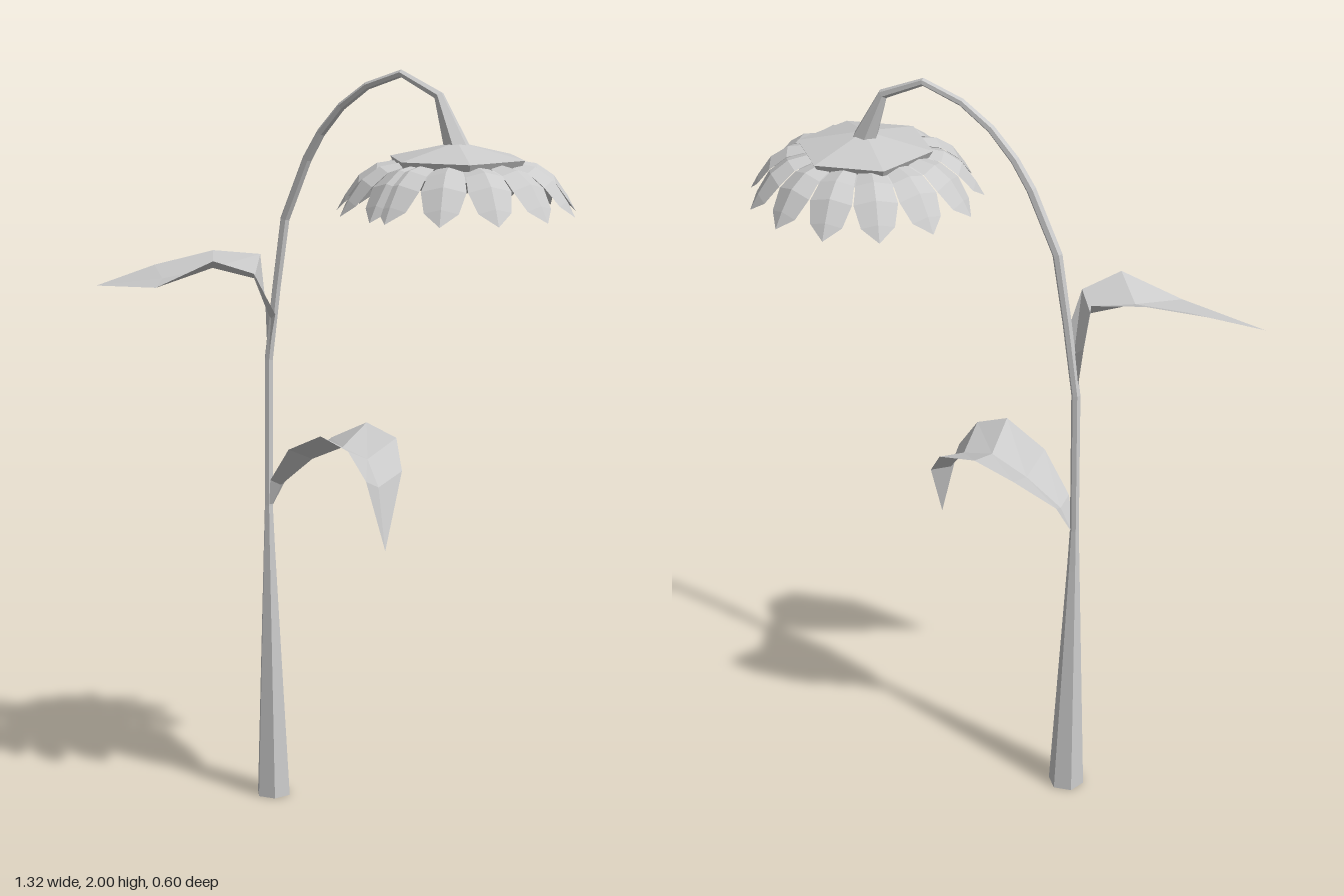
import * as THREE from 'three';

const material = new THREE.MeshStandardMaterial({ color: 0xcccccc, flatShading: true });
const thin = new THREE.MeshStandardMaterial({ color: 0xcccccc, flatShading: true, side: THREE.DoubleSide });

// Skins rows of [x, y, z] points into a faceted surface
function skin(rows) {
  const pos = [];
  for (let i = 0; i < rows.length - 1; i++) {
    for (let j = 0; j < rows[i].length - 1; j++) {
      const a = rows[i][j], b = rows[i][j + 1], c = rows[i + 1][j + 1], d = rows[i + 1][j];
      if (a !== b) pos.push(...a, ...b, ...c);
      if (c !== d) pos.push(...a, ...c, ...d);
    }
  }
  const g = new THREE.BufferGeometry();
  g.setAttribute('position', new THREE.Float32BufferAttribute(pos, 3));
  g.computeVertexNormals();
  return g;
}

function add(parent, name, geometry, mat) {
  const mesh = new THREE.Mesh(geometry, mat);
  mesh.name = name;
  parent.add(mesh);
  return mesh;
}

// Six-sided tapering tube through [x, y, radius] stations
function stemGeometry(path) {
  const sides = 6;
  const rows = path.map(([x, y, r], i) => {
    const p = path[Math.max(i - 1, 0)], q = path[Math.min(i + 1, path.length - 1)];
    const len = Math.hypot(q[0] - p[0], q[1] - p[1]);
    const nx = -(q[1] - p[1]) / len, ny = (q[0] - p[0]) / len;
    return Array.from({ length: sides + 1 }, (_, k) => {
      const a = (k / sides) * Math.PI * 2 + 0.2;
      return [x + nx * r * Math.cos(a), y + ny * r * Math.cos(a), -0.005 + r * Math.sin(a)];
    });
  });
  const foot = [path[0][0], path[0][1], -0.005];
  rows.unshift(Array(sides + 1).fill(foot));
  return skin(rows);
}

// Leaf from a base point, rows of [edge, rib, edge] and a tip
function leafGeometry(base, rows, tip) {
  return skin([[base, base, base], ...rows, [tip, tip, tip]]);
}

export function createModel() {
  const group = new THREE.Group();
  group.name = 'droopingFlower';

  // Stem: wide foot, thin neck, flared end at the flower
  add(group, 'stem', stemGeometry([
    [-0.227, 0, 0.049], [-0.237, 0.7, 0.017], [-0.238, 0.82, 0.012], [-0.235, 1.22, 0.012],
    [-0.207, 1.42, 0.012], [-0.178, 1.6, 0.013], [-0.105, 1.76, 0.013], [-0.06, 1.83, 0.012],
    [0.005, 1.9, 0.011], [0.085, 1.955, 0.01], [0.19, 1.99, 0.01], [0.303, 1.94, 0.013],
    [0.362, 1.805, 0.034],
  ]), material);

  // Lower leaf: arches toward +x, its blade folded upward along the rib
  add(group, 'lowerLeaf', leafGeometry([-0.238, 0.8, -0.005], [
    [[-0.205, 0.9, -0.05], [-0.2, 0.88, -0.01], [-0.205, 0.9, 0.03]],
    [[-0.12, 1.0, -0.13], [-0.11, 0.96, -0.03], [-0.12, 1.0, 0.06]],
    [[-0.02, 1.05, -0.153], [-0.01, 1.005, -0.03], [0.0, 1.055, 0.08]],
    [[0.09, 1.025, -0.135], [0.075, 0.985, -0.025], [0.085, 1.025, 0.075]],
    [[0.14, 0.95, -0.09], [0.125, 0.92, -0.005], [0.135, 0.95, 0.065]],
  ], [0.165, 0.76, 0.02]), thin);

  // Upper leaf: rises from the stem, then spreads toward -x and the front
  add(group, 'upperLeaf', leafGeometry([-0.235, 1.22, 0], [
    [[-0.265, 1.37, -0.03], [-0.225, 1.33, 0.0], [-0.185, 1.35, 0.03]],
    [[-0.285, 1.495, -0.035], [-0.255, 1.44, 0.03], [-0.2, 1.465, 0.1]],
    [[-0.41, 1.5, 0.01], [-0.355, 1.465, 0.08], [-0.275, 1.5, 0.175]],
    [[-0.54, 1.46, 0.1], [-0.47, 1.435, 0.15], [-0.42, 1.425, 0.235]],
  ], [-0.66, 1.405, 0.2]), thin);

  // Flower head hanging face down
  const flower = new THREE.Group();
  flower.name = 'flowerHead';
  flower.position.set(0.362, 0, 0);
  group.add(flower);

  const lathe = (points) => new THREE.LatheGeometry(
    points.map(([r, y]) => new THREE.Vector2(r, y)), 6, THREE.MathUtils.degToRad(44));
  add(flower, 'flowerBack', lathe([[0, 1.77], [0.165, 1.77], [0.177, 1.79], [0, 1.83]]), material);
  add(flower, 'seedDisc', lathe([[0, 1.71], [0.11, 1.715], [0.2, 1.75], [0.17, 1.772], [0, 1.775]]), material);

  // Ring of petals, the last overlapping the first
  const petal = skin([
    [0.14, 1.785, 0.03], [0.2, 1.775, 0.045], [0.245, 1.745, 0.055], [0.28, 1.695, 0.042], [0.302, 1.655, 0],
  ].map(([r, y, w]) => [[r - w * 0.15, y - w * 0.25, w], [r, y, 0], [r - w * 0.15, y - w * 0.25, -w]]));
  for (let i = 0; i < 14; i++) {
    const mesh = add(flower, 'petal', petal, thin);
    mesh.rotation.y = -THREE.MathUtils.degToRad(100 + 27 * i);
  }
  return group;
}
